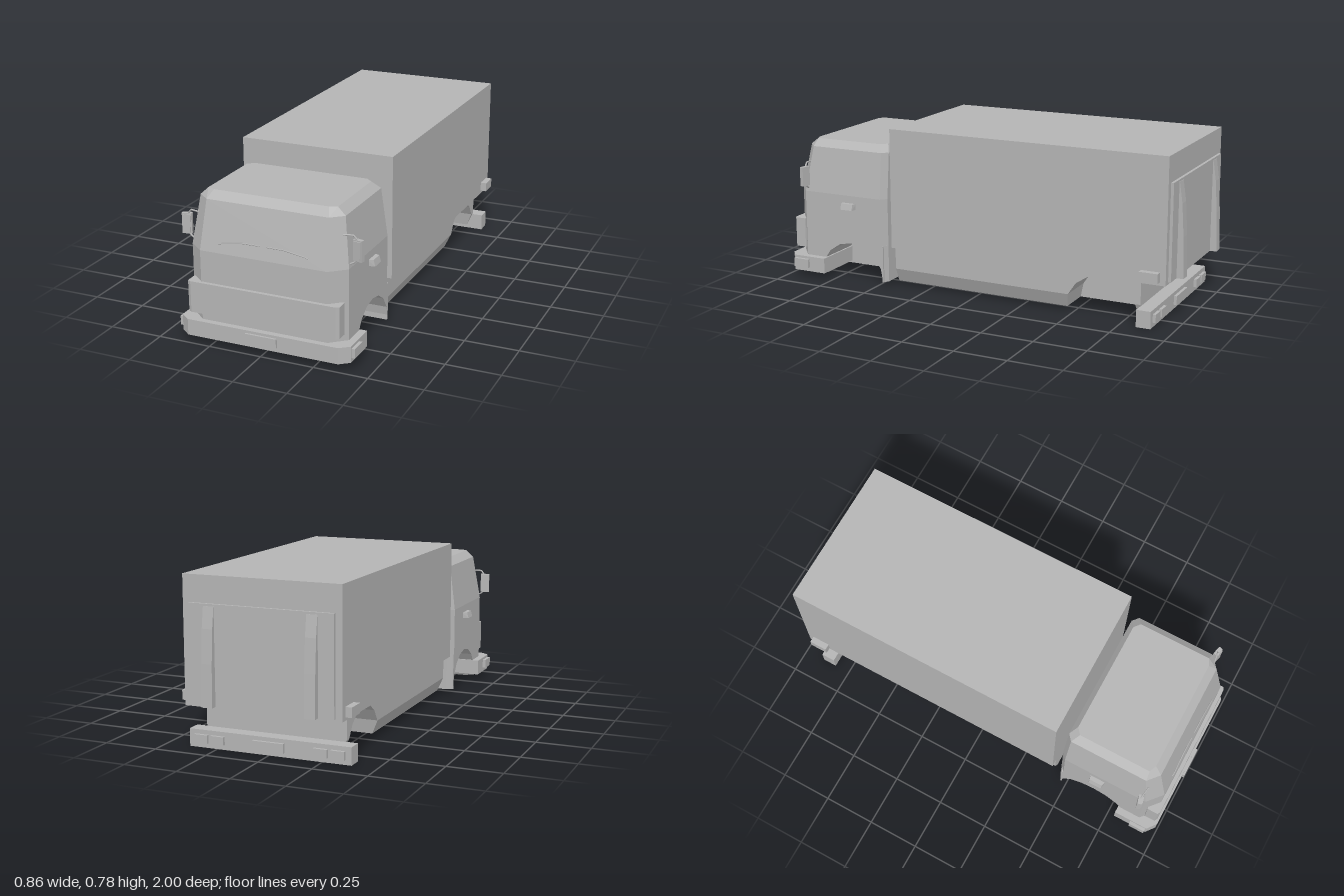
import * as THREE from 'three';
import { ConvexGeometry } from 'three/addons/geometries/ConvexGeometry.js';

export function createModel() {
  const truck = new THREE.Group();
  truck.name = 'boxTruck';
  const grey = new THREE.MeshStandardMaterial({ color: 0xb4b4b4 });
  grey.name = 'plainGrey';

  const add = (name, geo) => {
    const mesh = new THREE.Mesh(geo, grey);
    mesh.name = name;
    truck.add(mesh);
    return mesh;
  };
  // Box given by its limits on each axis
  const box = (name, x0, x1, y0, y1, z0, z1) =>
    add(name, new THREE.BoxGeometry(Math.abs(x1 - x0), y1 - y0, z1 - z0)
      .translate((x0 + x1) / 2, (y0 + y1) / 2, (z0 + z1) / 2));
  const hull = (name, pts) =>
    add(name, new ConvexGeometry(pts.map(p => new THREE.Vector3(...p))));
  const tube = (name, pts, r) => {
    const path = new THREE.CurvePath();
    const v = pts.map(p => new THREE.Vector3(...p));
    for (let i = 1; i < v.length; i++) path.add(new THREE.LineCurve3(v[i - 1], v[i]));
    return add(name, new THREE.TubeGeometry(path, (v.length - 1) * 4, r, 6));
  };

  // Eight-cornered plan outline at height y
  const ring = (y, w, wf, zFront, zCorner, zBack) => [1, -1].flatMap(s => [
    [s * wf, y, zFront], [s * w, y, zCorner],
    [s * w, y, zBack + 0.025], [s * (w - 0.03), y, zBack]]);

  // Side wall with a faceted wheel arch, extruded between two x limits
  const R = 0.175, BASE = 0.02, STEPS = 8;
  const archPoint = (zc, i) => {
    const a = Math.PI * i / STEPS;
    return [zc + R * Math.cos(a), BASE + R * Math.sin(a)];
  };
  const archWall = (name, zc, zBack, zFront, yLow, first, xIn, xOut) => {
    const outline = [[zBack, 0.2], [zBack, yLow]];
    for (let i = STEPS - first; i >= first; i--) outline.push(archPoint(zc, i));
    outline.push([zFront, yLow], [zFront, 0.2]);
    const shape = new THREE.Shape(outline.map(p => new THREE.Vector2(...p)));
    for (const s of [1, -1]) {
      const geo = new THREE.ExtrudeGeometry(shape, { depth: xOut - xIn, bevelEnabled: false });
      geo.rotateY(-Math.PI / 2).translate(s > 0 ? xOut : -xIn, 0, 0);
      add(name, geo);
    }
  };

  // Cab shell
  hull('cab', [
    ...ring(0.2, 0.372, 0.3, 0.962, 0.9, 0.455),
    ...ring(0.43, 0.372, 0.3, 0.962, 0.9, 0.455),
    ...ring(0.65, 0.342, 0.287, 0.912, 0.865, 0.46),
    ...ring(0.684, 0.305, 0.27, 0.875, 0.86, 0.485)]);
  // Cab below the floor line, with front wheel arches
  const frontArch = 0.645;
  archWall('cabWheelArch', frontArch, 0.469, 0.821, BASE, 0, 0.15, 0.372);
  hull('cabNose', [0.04, 0.2].flatMap(y => [1, -1].flatMap(s => [
    [s * 0.3, y, 0.962], [s * 0.372, y, 0.9], [s * 0.372, y, 0.81]])));
  for (const s of [1, -1])
    hull('cabRearFlange', [BASE, 0.2].flatMap(y => [
      [s * 0.14, y, 0.455], [s * 0.342, y, 0.455], [s * 0.372, y, 0.475], [s * 0.14, y, 0.475]]));

  // Front panel and bumper
  hull('frontPanel', [0.14, 0.285].flatMap(y => [1, -1].flatMap(s => [
    [s * 0.345, y, 0.98], [s * 0.36, y, 0.972], [s * 0.36, y, 0.92], [s * 0.3, y, 0.9]])));
  hull('frontBumper', [0.032, 0.107].flatMap(y => [1, -1].flatMap(s => [
    [s * 0.36, y, 0.99], [s * 0.405, y, 0.955], [s * 0.405, y, 0.785]])));
  hull('frontLip', [1, -1].flatMap(s => [
    [s * 0.358, 0.035, 0.94], [s * 0.358, 0.035, 0.8], [s * 0.34, 0.017, 0.88], [s * 0.34, 0.017, 0.81]]));
  box('frontPlate', -0.075, 0.075, 0.053, 0.095, 0.985, 1.0);

  for (const s of [1, -1]) {
    box('frontCornerLamp', s * 0.4, s * 0.42, 0.052, 0.095, 0.87, 0.95);
    // Door handle
    hull('doorHandle', [0.365, 0.394].flatMap(y => {
      const x = y < 0.38 ? 0.4 : 0.392;
      return [[s * 0.365, y, 0.615], [s * 0.365, y, 0.692], [s * x, y, 0.622], [s * x, y, 0.685]];
    }));
    // Mirror and its two arms
    const mirror = new THREE.Group();
    mirror.name = 'sideMirror';
    const housing = box('mirrorHousing', -0.022, 0.022, -0.047, 0.047, -0.01, 0.01);
    const face = box('mirrorFace', -0.016, 0.016, -0.041, 0.041, 0.01, 0.014);
    mirror.add(housing, face);
    mirror.position.set(s * 0.406, 0.512, 0.878);
    mirror.rotation.y = -s * 0.25;
    truck.add(mirror);
    tube('mirrorUpperArm', [[s * 0.34, 0.575, 0.888], [s * 0.385, 0.576, 0.88], [s * 0.402, 0.555, 0.878]], 0.004);
    tube('mirrorLowerArm', [[s * 0.365, 0.447, 0.885], [s * 0.385, 0.455, 0.88], [s * 0.4, 0.47, 0.878]], 0.004);
    // Wiper
    tube('wiper', [[s * 0.015, 0.491, 0.953], [s * 0.1, 0.49, 0.953],
      [s * 0.2, 0.475, 0.956], [s * 0.212, 0.468, 0.955]], 0.003);
  }

  // Cargo box
  box('cargoBox', -0.37, 0.37, 0.2, 0.776, -0.955, 0.42);

  // Chassis core joining cab and load bed, and the inner walls of the wheel wells
  box('chassis', -0.15, 0.15, BASE, 0.2, -0.83, 0.9);

  // Side skirts with rear wheel arches; the lower edge leans inward
  const rearArch = -0.642, skirtX = 0.335;
  const lipY = archPoint(rearArch, 1)[1];
  archWall('skirt', rearArch, -0.83, 0.42, lipY, 1, 0.15, skirtX);
  for (const s of [1, -1])
    for (const [z, i] of [[0.42, 0], [-0.83, STEPS]]) {
      const j = i ? STEPS - 1 : 1;
      const bottomZ = archPoint(rearArch, i)[0], lipZ = archPoint(rearArch, j)[0];
      hull('skirtLowerEdge', [
        ...[z, lipZ].flatMap(q => [[s * 0.15, lipY, q], [s * skirtX, lipY, q]]),
        ...[z, bottomZ].flatMap(q => [[s * 0.15, BASE, q], [s * 0.305, BASE, q]])]);
    }

  // Tail lift panel with two tapering rails
  box('tailPanel', -0.338, 0.338, 0.21, 0.655, -0.968, -0.95);
  for (const s of [1, -1]) {
    hull('tailRail', [-0.025, 0.025].flatMap(d => [
      [0.645, -0.965], [0.645, -0.97], [0.55, -0.984], [0.4, -0.994], [0.21, -1.0], [0.21, -0.965],
    ].map(([y, z]) => [s * 0.24 + d, y, z])));
    box('sideMarker', s * 0.365, s * 0.4, 0.215, 0.26, -0.928, -0.84);
  }

  // Rear bumper, lamps and plate
  box('rearBumper', -0.385, 0.385, 0, 0.08, -0.896, -0.828);
  for (const x of [-0.325, -0.245, 0.245, 0.325])
    box('rearLamp', x - 0.032, x + 0.032, 0.022, 0.06, -0.91, -0.89);
  box('rearPlate', -0.075, 0.075, 0.02, 0.062, -0.91, -0.89);

  return truck;
}
